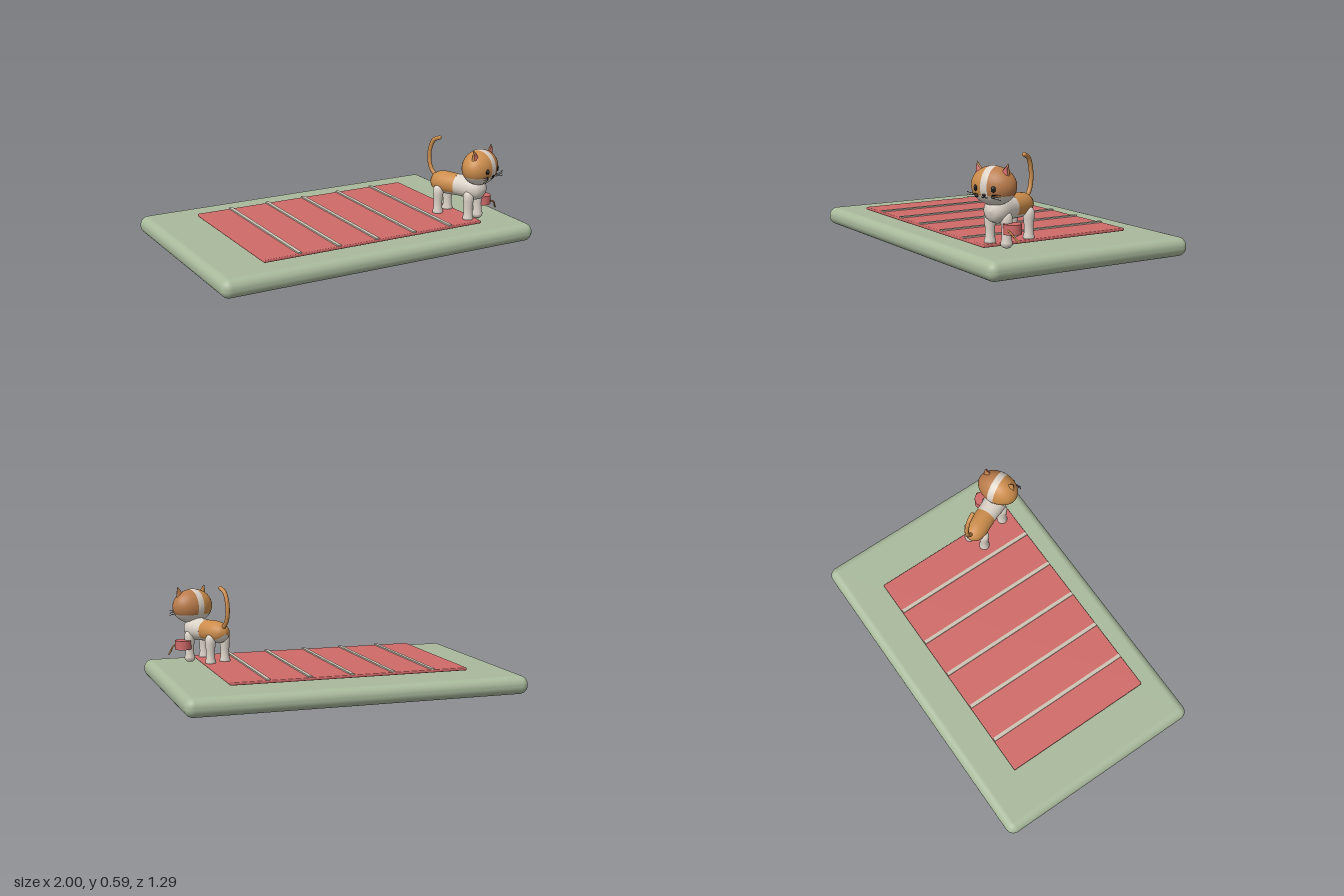
import * as THREE from 'three';
import { RoundedBoxGeometry } from 'three/addons/geometries/RoundedBoxGeometry.js';

export function createModel() {
  const mat = (name, color) => Object.assign(new THREE.MeshStandardMaterial({ color }), { name });
  const green = mat('sage green', 0xa9ba9c);
  const pink = mat('rose pink', 0xcf6a68);
  const beige = mat('stripe beige', 0xcdc4b4);
  const white = mat('cream fur', 0xdcd3c8);
  const orange = mat('orange fur', 0xcc8d4c);
  const brown = mat('brown fur', 0xb97b4a);
  const black = mat('black', 0x1c1a1a);

  const model = new THREE.Group();
  const add = (parent, name, geometry, material, x = 0, y = 0, z = 0) => {
    const mesh = new THREE.Mesh(geometry, material);
    mesh.name = name;
    mesh.position.set(x, y, z);
    parent.add(mesh);
    return mesh;
  };
  const tube = (points, radius) => new THREE.TubeGeometry(
    new THREE.CatmullRomCurve3(points.map(p => new THREE.Vector3(...p))), 32, radius, 10);

  // Ground slab, rug and its raised stripes
  add(model, 'base', new RoundedBoxGeometry(2, 0.107, 1.29, 6, 0.05), green, 0, 0.0535, 0);
  add(model, 'rug', new RoundedBoxGeometry(1.412, 0.017, 0.926, 2, 0.006), pink, 0, 0.1275, 0.047);
  for (let i = -2; i <= 2; i++) {
    add(model, 'rugStripe', new THREE.BoxGeometry(0.022, 0.009, 0.92), beige, i * 0.245, 0.1395, 0.047);
  }

  // Cat, origin on the floor under the head, turned a little to its left
  const cat = new THREE.Group();
  cat.name = 'cat';
  cat.position.set(0.722, 0, 0.455);
  cat.rotation.y = 0.41;
  model.add(cat);

  // Body: a lathe along z with an orange saddle over the rear
  const lathe = (points, start, length) => new THREE.LatheGeometry(
    points.map(p => new THREE.Vector2(...p)), 28, start, length).rotateX(Math.PI / 2);
  const rear = [[0, -0.33], [0.026, -0.324], [0.047, -0.308], [0.061, -0.28], [0.067, -0.24], [0.066, -0.19], [0.064, -0.145]];
  const front = [[0.064, -0.145], [0.065, -0.1], [0.07, -0.06], [0.07, -0.02], [0.058, 0.012], [0.035, 0.03], [0, 0.036]];
  add(cat, 'chest', lathe(front, 0, Math.PI * 2), white, 0, 0.315, 0);
  add(cat, 'saddlePatch', lathe(rear, 0.9, Math.PI * 2 - 1.8), orange, 0, 0.315, 0);
  add(cat, 'belly', lathe(rear, -0.9, 1.8), white, 0, 0.315, 0);

  // Legs with rounded paws
  const legProfile = [[0, 0.116], [0.02, 0.119], [0.031, 0.132], [0.032, 0.146], [0.026, 0.166],
    [0.026, 0.21], [0.031, 0.25], [0.032, 0.28], [0.022, 0.3], [0, 0.31]].map(p => new THREE.Vector2(...p));
  for (const z of [-0.039, -0.25]) {
    for (const side of [-1, 1]) {
      add(cat, z > -0.1 ? 'frontLeg' : 'backLeg', new THREE.LatheGeometry(legProfile, 20), white, side * 0.053, 0, z);
    }
  }

  // Tail
  add(cat, 'tail', tube([[0, 0.345, -0.305], [0, 0.385, -0.338], [0, 0.45, -0.353],
    [0, 0.52, -0.344], [0, 0.563, -0.322], [0, 0.581, -0.285]], 0.0125), orange);
  add(cat, 'tailTip', new THREE.SphereGeometry(0.0125, 12, 8), orange, 0, 0.581, -0.285);

  // Head: coloured cap halves, centre stripe and cream jaw
  const head = new THREE.Group();
  head.name = 'head';
  head.position.y = 0.448;
  cat.add(head);
  const A = 0.13, B = 0.104, C = 0.096, cut = Math.acos(-0.43);
  const shell = (phi, phiLength, theta, thetaLength) =>
    new THREE.SphereGeometry(1, 32, 20, phi, phiLength, theta, thetaLength);
  add(head, 'rightCap', shell(-Math.PI / 2, Math.PI, 0, cut).scale(A, B, C), orange);
  add(head, 'leftCap', shell(Math.PI / 2, Math.PI, 0, cut).scale(A, B, C), brown);
  add(head, 'jaw', shell(0, Math.PI * 2, cut, Math.PI - cut).scale(A, B, C), white);
  const edge = Math.acos(0.43);
  add(head, 'headStripe', shell(edge, Math.PI * 2 - 2 * edge, Math.PI / 2 - 0.155, 0.31)
    .rotateZ(Math.PI / 2).scale(A * 1.01, B * 1.012, C * 1.012), white);

  // Depth of the face surface at a given point
  const faceZ = (x, y) => C * Math.sqrt(Math.max(0, 1 - (x / A) ** 2 - (y / B) ** 2));

  for (const side of [-1, 1]) {
    // Ear with a pink inner face
    const ear = new THREE.Group();
    ear.name = side > 0 ? 'leftEar' : 'rightEar';
    ear.position.set(side * 0.086, 0.083, 0.012);
    ear.rotation.z = -side * 0.3;
    head.add(ear);
    add(ear, 'earBack', new THREE.ConeGeometry(0.039, 0.088, 20).scale(1, 1, 0.5), side > 0 ? brown : orange);
    add(ear, 'earInner', new THREE.ConeGeometry(0.031, 0.074, 20).scale(1, 1, 0.5), pink, 0, -0.004, 0.009);

    // Eye with a small glint
    const ex = side * 0.056;
    const eye = add(head, 'eye', new THREE.SphereGeometry(1, 16, 12).scale(0.013, 0.017, 0.006), black, ex, -0.006, faceZ(ex, 0));
    eye.rotation.y = side * 0.35;
    add(eye, 'eyeGlint', new THREE.SphereGeometry(0.004, 8, 6), white, -0.003, 0.006, 0.005);

    // Whiskers and half of the mouth
    for (let i = -1; i <= 1; i++) {
      add(head, 'whisker', tube([[side * 0.04, -0.045 + i * 0.006, 0.081],
        [side * 0.075, -0.044 + i * 0.01, 0.092], [side * 0.108, -0.044 + i * 0.014, 0.09]], 0.0016), black);
    }
    add(head, 'mouth', tube([[0, -0.046, 0.089], [side * 0.008, -0.055, 0.084],
      [side * 0.02, -0.052, 0.083]], 0.002), black);
  }
  add(head, 'nose', new THREE.SphereGeometry(1, 14, 10).scale(0.01, 0.007, 0.006), black, 0, -0.039, 0.091);

  // Small drum held by the left front leg, with its cord
  add(model, 'drum', new THREE.CylinderGeometry(0.049, 0.049, 0.054, 32), pink, 0.797, 0.224, 0.388);
  add(model, 'cord', tube([[0.82, 0.222, 0.432], [0.848, 0.212, 0.43], [0.868, 0.185, 0.415],
    [0.885, 0.163, 0.4]], 0.005), orange);

  return model;
}
